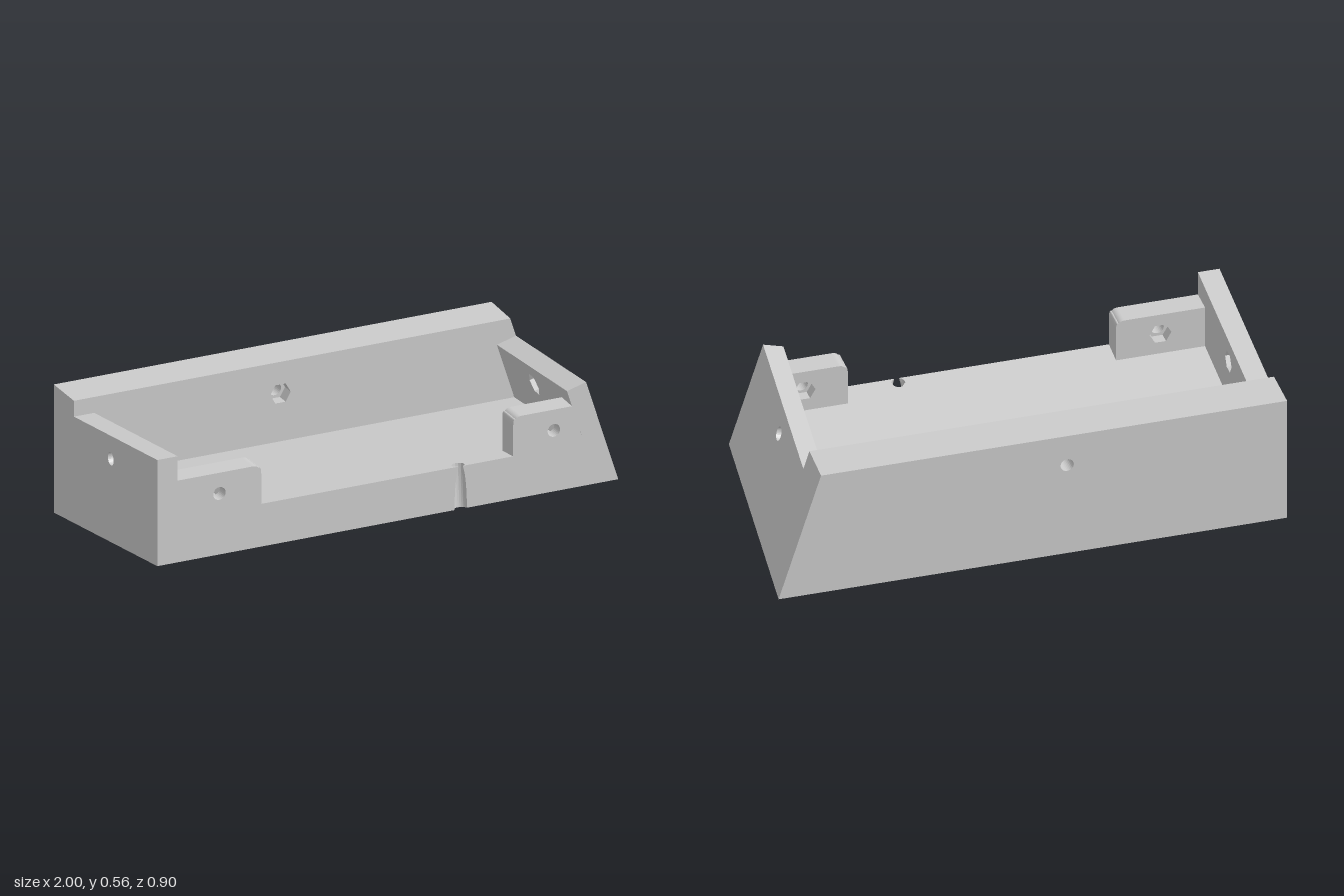
import * as THREE from 'three';

const FRONT = 0.45, BACK = -0.45, INNER_BACK = -0.275, LEFT = -0.915;
const FLOOR = 0.175, WALL = 0.08;
const SLOPE = 0.1389;

// Sloping underside, leaning outer side and its parallel inner side
const bottomY = z => SLOPE * (z - BACK);
const outerX = (y, z) => 1 - 0.318 * y - 0.034 * (z - BACK);
const innerX = (y, z) => outerX(y, z) - 1.09 * WALL;

const material = new THREE.MeshStandardMaterial({ color: 0xcccccc });

const polygon = pts => new THREE.Shape(pts.map(p => new THREE.Vector2(...p)));

// Bore through a plate: round for the screw, six-sided for the nut pocket
function bore(x, y, r, sides) {
  const pts = [];
  for (let i = 0; i < sides; i++) {
    const a = (i / sides) * Math.PI * 2;
    pts.push(new THREE.Vector2(x + r * Math.cos(a), y + r * Math.sin(a)));
  }
  return new THREE.Path(pts);
}
const screw = (x, y) => bore(x, y, 0.026, 28);
const nut = (x, y) => bore(x, y, 0.043, 6);

// Extrude a shape from c0 to c1, then place every vertex by a rule
function plate(name, shape, hole, c0, c1, rule, steps = 1) {
  const s = shape.clone();
  if (hole) s.holes.push(hole);
  const geo = new THREE.ExtrudeGeometry(s, {
    depth: c1 - c0, bevelEnabled: false, curveSegments: 8, steps
  });
  geo.translate(0, 0, c0);
  const p = geo.attributes.position;
  for (let i = 0; i < p.count; i++) {
    p.setXYZ(i, ...rule(p.getX(i), p.getY(i), p.getZ(i)));
  }
  geo.computeVertexNormals();
  const mesh = new THREE.Mesh(geo, material);
  mesh.name = name;
  return mesh;
}

// Two stacked layers: screw hole on one side, nut pocket on the other
function boredPlate(name, shape, [hx, hy], screwSpan, nutSpan, rule) {
  const group = new THREE.Group();
  group.name = name;
  group.add(
    plate(name + 'ScrewLayer', shape, screw(hx, hy), ...screwSpan, rule),
    plate(name + 'NutLayer', shape, nut(hx, hy), ...nutSpan, rule)
  );
  return group;
}

// Floor slab with a tilted half-round cable groove in the front edge
function floorSlab() {
  const gx = 0.27, r = 0.026, n = 12;
  const spread = h => Math.PI - Math.acos(Math.min(1, (SLOPE * h) / r));
  const pts = [[LEFT, -FRONT]];
  for (let i = 0; i <= n; i++) {
    const a = (i / n * 2 - 1) * spread(0);
    pts.push([gx + r * Math.sin(a), -FRONT + r * Math.cos(a)]);
  }
  pts.push([0.8, -FRONT], [0.8, -INNER_BACK], [LEFT, -INNER_BACK]);
  return plate('floor', polygon(pts), null, 0, FLOOR, (a, b, h) => {
    let x = a, z = -b;
    if (Math.abs(x - gx) < 0.04) {
      const t = Math.atan2(x - gx, FRONT - z) / spread(0) * spread(h);
      x = gx + r * Math.sin(t);
      z = FRONT - SLOPE * h - r * Math.cos(t);
    }
    const y = h + bottomY(z);
    if (x > 0.79) x = innerX(y, z);
    return [x, y, z];
  }, 6);
}

// Side outline drawn in (-z, y)
const sideOutline = (backTop, frontTop) => polygon([
  [-FRONT, bottomY(FRONT)], [-INNER_BACK, bottomY(INNER_BACK)],
  [-INNER_BACK, backTop], [-FRONT, frontTop]
]);

// Front tab with one rounded top corner; side = 1 puts the corner at +x
function frontTab(name, wallX, freeX, holeX, side) {
  const r = 0.035, top = 0.46, low = 0.3;
  const s = new THREE.Shape();
  s.moveTo(wallX, low);
  s.lineTo(freeX, low);
  s.lineTo(freeX, top - r);
  s.quadraticCurveTo(freeX, top - 0.2 * r, freeX - side * r * 0.3, top - 0.3 * r);
  s.quadraticCurveTo(freeX - side * r * 0.55, top, freeX - side * r, top);
  s.lineTo(wallX, top);
  s.closePath();
  return boredPlate(name, s, [holeX, 0.375], [0.4, FRONT], [0.355, 0.4], (x, y, z) => {
    if (y < low + 0.001) y = bottomY(z) + FLOOR;
    return [x > 0.79 ? innerX(y, z) : x, y, z];
  });
}

export function createModel() {
  const model = new THREE.Group();
  model.name = 'openTray';

  model.add(floorSlab());

  // Thick back wall with a level top
  const back = polygon([[-1, 0], [1, 0], [1, 0.525], [-1, 0.525]]);
  model.add(boredPlate('backWall', back, [-0.135, 0.395],
    [BACK, -0.325], [-0.325, INNER_BACK], (x, y, z) => {
      if (y < 0.001) y = bottomY(z);
      return [x > 0.99 ? outerX(y, z) : x, y, z];
    }));

  // Upright wall at -x
  model.add(boredPlate('rightWall', sideOutline(0.46, 0.56), [-0.045, 0.41],
    [-1, -0.955], [-0.955, LEFT], (a, b, c) => [c, b, -a]));

  // Leaning wall at +x, its rim square to the lean
  model.add(boredPlate('leftWall', sideOutline(0.45, 0.548), [-0.045, 0.41],
    [-WALL / 2, 0], [-WALL, -WALL / 2], (a, b, c) => {
      const z = -a;
      return b < bottomY(z) + 0.001
        ? [outerX(b, z) + 1.09 * c, b, z]
        : [outerX(b, z) + c, b + 0.28 * c, z];
    }));

  // Screw tabs either side of the open front
  model.add(frontTab('rightTab', LEFT, -0.565, -0.74, 1));
  model.add(frontTab('leftTab', 0.8, 0.49, 0.66, -1));

  return model;
}
